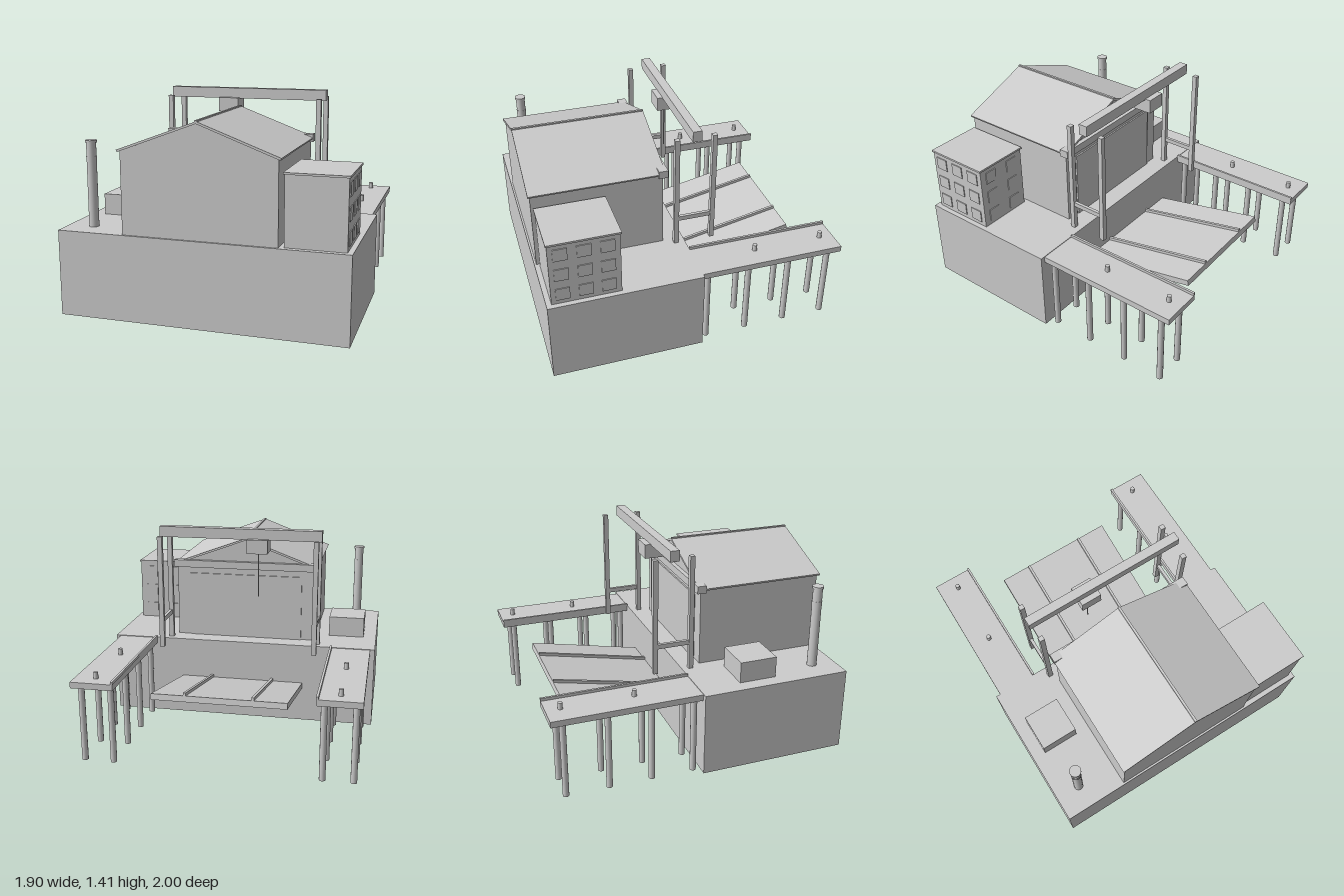
import * as THREE from 'three';

export function createModel() {
  const model = new THREE.Group();
  model.name = 'shipyard';
  const grey = new THREE.MeshStandardMaterial({ color: 0xcccccc });
  grey.name = 'plain grey';

  const add = (name, geometry, x, y, z, parent = model) => {
    const mesh = new THREE.Mesh(geometry, grey);
    mesh.name = name;
    mesh.position.set(x, y, z);
    parent.add(mesh);
    return mesh;
  };
  // Box given by its limits on each axis
  const box = (name, x0, x1, y0, y1, z0, z1, parent) =>
    add(name, new THREE.BoxGeometry(x1 - x0, y1 - y0, z1 - z0),
      (x0 + x1) / 2, (y0 + y1) / 2, (z0 + z1) / 2, parent);
  // Upright cylinder standing on y0
  const post = (name, r0, r1, x, y0, y1, z, sides = 16) =>
    add(name, new THREE.CylinderGeometry(r1, r0, y1 - y0, sides), x, (y0 + y1) / 2, z);
  // Outline in x and y, extruded from z0 to z1
  const prism = (name, points, z0, z1) => {
    const shape = new THREE.Shape(points.map(([x, y]) => new THREE.Vector2(x, y)));
    return add(name, new THREE.ExtrudeGeometry(shape, { depth: z1 - z0, bevelEnabled: false }), 0, 0, z0);
  };

  // Quay block
  const ground = 0.57;
  box('quay', -0.95, 0.95, 0, ground, -0.016, 1);

  // Two piers with kerbs, bollards and pilings
  for (const s of [-1, 1]) {
    const c = s * 0.778;
    box('pierDeck', c - 0.14, c + 0.14, 0.525, 0.566, -1, -0.016);
    box('pierKerb', s * 0.6425 - 0.0075, s * 0.6425 + 0.0075, 0.566, 0.585, -1, -0.016);
    for (const z of [-0.43, -0.905]) post('bollard', 0.016, 0.015, c, 0.566, 0.61, z);
    for (const dx of [-0.098, 0.098])
      for (let i = 0; i < 4; i++)
        post('piling', 0.021, 0.021, c + dx, 0, 0.526, -0.064 - i * 0.285, 12);
  }

  // Sloping slipway with two rails
  const slipway = new THREE.Group();
  slipway.name = 'slipway';
  slipway.position.set(0, 0.417, -0.834);
  slipway.rotation.x = 0.2075;
  model.add(slipway);
  box('slipwayDeck', -0.444, 0.444, 0, 0.04, 0, 0.86, slipway);
  for (const x of [-0.222, 0.222])
    box('slipwayRail', x - 0.009, x + 0.009, 0.04, 0.06, 0, 0.86, slipway);

  // Building hall with gabled walls, thin roof, ridge, door and door header
  prism('hallWalls', [[-0.505, ground], [0.505, ground], [0.505, 1.105], [0, 1.293], [-0.505, 1.105]], 0.125, 0.987);
  prism('hallRoof', [[-0.518, 1.098], [0, 1.291], [0.518, 1.098], [0.524, 1.112], [0, 1.306], [-0.524, 1.112]], 0.11, 1);
  box('roofRidge', -0.008, 0.008, 1.296, 1.312, 0.11, 1);
  box('hallDoor', -0.41, 0.41, ground, 1.037, 0.115, 0.126);
  box('doorHeader', -0.525, 0.525, 1.083, 1.135, 0.095, 0.157);

  // Office block with roof slab
  box('officeWalls', 0.535, 0.916, ground, 1.013, 0.52, 0.967);
  box('officeRoof', 0.528, 0.924, 1.013, 1.026, 0.513, 0.974);
  // Office windows on the two sides and the back
  for (const y of [0.599, 0.748, 0.897]) {
    for (const z of [0.6, 0.745, 0.892]) {
      box('officeWindow', 0.914, 0.922, y, y + 0.086, z - 0.045, z + 0.045);
      box('officeWindow', 0.529, 0.537, y, y + 0.086, z - 0.045, z + 0.045);
    }
    for (const x of [0.635, 0.826])
      box('officeWindow', x - 0.043, x + 0.043, y, y + 0.086, 0.514, 0.522);
  }

  // Chimney and store shed
  post('chimney', 0.033, 0.032, -0.778, ground, 1.13, 0.835, 20);
  post('chimneyBand', 0.034, 0.034, -0.778, 1.0, 1.035, 0.835, 20);
  post('chimneyCap', 0.038, 0.038, -0.778, 1.122, 1.138, 0.835, 20);
  box('storeShed', -0.858, -0.604, ground, 0.713, 0.265, 0.52);

  // Gantry crane: four legs, side braces, beam, trolley and cable
  for (const s of [-1, 1]) {
    for (const z of [0.045, -0.205])
      box('gantryLeg', s * 0.539 - 0.017, s * 0.539 + 0.017, ground, 1.36, z - 0.016, z + 0.016);
    box('gantryBrace', s * 0.539 - 0.011, s * 0.539 + 0.011, 0.745, 0.776, -0.205, 0.045);
  }
  box('gantryBeam', -0.567, 0.567, 1.341, 1.414, -0.111, -0.05);
  box('trolley', -0.2, -0.058, 1.251, 1.347, -0.152, -0.012);
  post('hoistCable', 0.004, 0.004, -0.129, 0.937, 1.252, -0.081, 8);

  return model;
}
